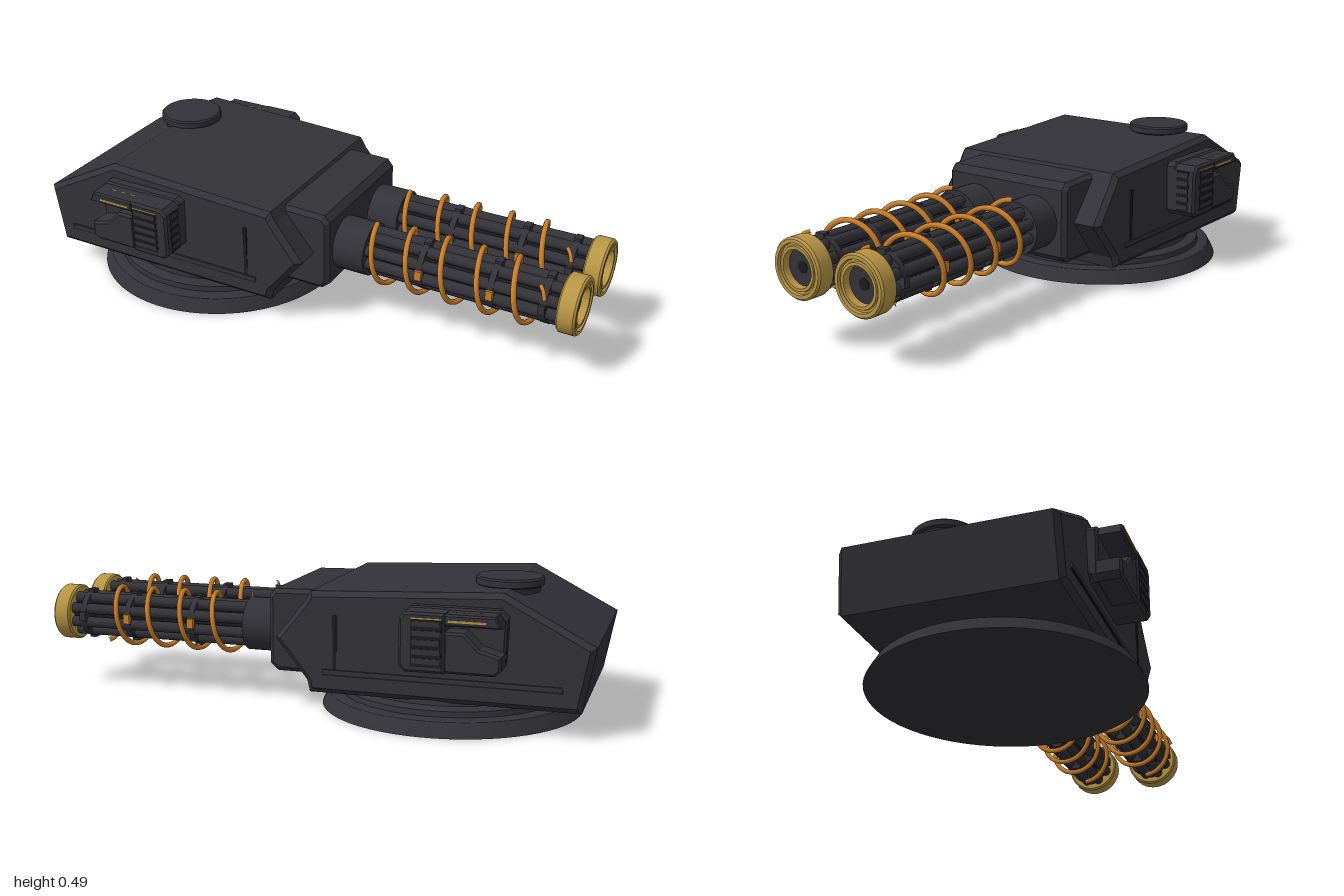
import * as THREE from 'three';
import { toCreasedNormals } from 'three/addons/utils/BufferGeometryUtils.js';

const mat = (name, color) => Object.assign(new THREE.MeshStandardMaterial({ color }), { name });
const armor = mat('charcoal armor', 0x323238);
const dark = mat('dark recess', 0x1c1c20);
const gold = mat('brass', 0xb89545);
const copper = mat('copper', 0xcd8029);

export function createModel() {
  const root = new THREE.Group();
  root.name = 'twinTurret';

  const add = (parent, name, geo, material, x = 0, y = 0, z = 0) => {
    const m = new THREE.Mesh(geo, material);
    m.name = name;
    m.position.set(x, y, z);
    parent.add(m);
    return m;
  };
  const box = (parent, name, material, x0, x1, y0, y1, z0, z1) =>
    add(parent, name, new THREE.BoxGeometry(x1 - x0, y1 - y0, z1 - z0), material,
      (x0 + x1) / 2, (y0 + y1) / 2, (z0 + z1) / 2);
  const lathe = (pts, segments = 48) => toCreasedNormals(
    new THREE.LatheGeometry(pts.map(p => new THREE.Vector2(...p)), segments), 0.5);
  const xCylinder = (r, length, segments = 32) =>
    new THREE.CylinderGeometry(r, r, length, segments).rotateZ(-Math.PI / 2);
  // Side profile extruded across z from z0 to z1, with chamfered rims
  const slab = (pts, z0, z1, bevel) => {
    const shape = new THREE.Shape(pts.map(p => new THREE.Vector2(...p)));
    const geo = new THREE.ExtrudeGeometry(shape, {
      depth: z1 - z0 - 2 * bevel, bevelEnabled: true, bevelSegments: 1,
      bevelSize: bevel, bevelThickness: bevel, bevelOffset: -bevel });
    return geo.translate(0, 0, z0 + bevel);
  };

  // Stepped turntable base
  add(root, 'turntable', lathe([
    [0, 0], [0.46, 0], [0.455, 0.012], [0.435, 0.048], [0.425, 0.053], [0.395, 0.053],
    [0.392, 0.072], [0.38, 0.078], [0.355, 0.08], [0.35, 0.1], [0, 0.1],
  ], 64), armor, -0.465);

  // Hull, slightly wider at the bottom
  const hullGeo = slab([
    [-0.96, 0.09], [-0.05, 0.09], [-0.04, 0.13], [0.075, 0.27], [-0.03, 0.4],
    [-0.05, 0.435], [-0.7, 0.463], [-1, 0.305],
  ], -0.355, 0.355, 0.018);
  const p = hullGeo.attributes.position;
  for (let i = 0; i < p.count; i++) p.setZ(i, p.getZ(i) * (1.02 - 0.08 * (p.getY(i) - 0.09)));
  hullGeo.computeVertexNormals();
  add(root, 'hull', hullGeo, armor);

  // Front collar that carries the barrels
  add(root, 'frontCollar', slab([
    [-0.1, 0.13], [0.1, 0.13], [0.13, 0.155], [0.13, 0.395], [0.11, 0.42], [-0.1, 0.425],
  ], -0.26, 0.26, 0.015), armor);
  box(root, 'brassTrim', gold, -0.06, -0.038, 0.09, 0.1, -0.14, 0.14);

  // Roof hatch
  add(root, 'hatch', lathe([
    [0.1, 0], [0.105, 0.02], [0.114, 0.025], [0.114, 0.045], [0.108, 0.051], [0, 0.051],
  ]), armor, -0.685, 0.439, -0.135);

  // Side equipment, the same on both sides
  for (const s of [1, -1]) {
    const side = new THREE.Group();
    side.name = s > 0 ? 'frontSide' : 'backSide';
    root.add(side);
    const sbox = (name, material, x0, x1, y0, y1, z0, z1) =>
      box(side, name, material, x0, x1, y0, y1, Math.min(s * z0, s * z1), Math.max(s * z0, s * z1));
    const sslab = (name, pts, z0, z1, b) =>
      add(side, name, s > 0 ? slab(pts, z0, z1, b) : slab(pts, -z1, -z0, b), armor);

    sbox('lowerRail', armor, -0.9, -0.1, 0.16, 0.175, 0.34, 0.366);
    sbox('lowerRailShadow', dark, -0.9, -0.1, 0.154, 0.16, 0.34, 0.363);
    sbox('slot', dark, -0.148, -0.135, 0.16, 0.36, 0.34, 0.36);

    // Pod: mounting plate, housing and sloped rear cover
    sslab('podPlate', [[-0.72, 0.24], [-0.7, 0.215], [-0.41, 0.215], [-0.39, 0.235],
      [-0.39, 0.4], [-0.41, 0.415], [-0.7, 0.415], [-0.725, 0.39]], 0.33, 0.39, 0.008);
    sslab('podHousing', [[-0.54, 0.215], [-0.41, 0.215], [-0.39, 0.235],
      [-0.39, 0.39], [-0.41, 0.41], [-0.54, 0.41]], 0.36, 0.47, 0.008);
    sslab('podCover', [[-0.72, 0.235], [-0.7, 0.217], [-0.535, 0.217], [-0.535, 0.35],
      [-0.6, 0.35], [-0.65, 0.3], [-0.72, 0.28]], 0.36, 0.465, 0.008);
    sslab('podTop', [[-0.72, 0.37], [-0.535, 0.37], [-0.535, 0.408], [-0.7, 0.408]],
      0.36, 0.468, 0.006);
    sbox('podBrassTrim', gold, -0.67, -0.55, 0.383, 0.39, 0.46, 0.47);
    for (let i = 0; i < 3; i++)
      sbox('podBrassVent', gold, -0.65 + i * 0.04, -0.63 + i * 0.04, 0.404, 0.41, 0.42, 0.425);

    // Grille wrapping the housing's corner
    sbox('grilleRecess', dark, -0.53, -0.43, 0.235, 0.39, 0.46, 0.471);
    sbox('grilleEndRecess', dark, -0.4, -0.389, 0.235, 0.39, 0.395, 0.445);
    for (let i = 0; i < 5; i++) {
      const y = 0.245 + i * 0.03;
      sbox('grilleSlat', armor, -0.525, -0.435, y, y + 0.018, 0.46, 0.474);
      sbox('grilleEndSlat', armor, -0.4, -0.386, y, y + 0.018, 0.397, 0.443);
    }
    sbox('grilleBrassTrim', gold, -0.53, -0.43, 0.389, 0.393, 0.465, 0.472);
  }

  // Coil path around a barrel
  const coilPoints = [];
  const turns = 4.5;
  for (let i = 0; i <= 108; i++) {
    const t = i / 108, a = t * turns * Math.PI * 2;
    coilPoints.push(new THREE.Vector3(0.255 + 0.575 * t, Math.cos(a) * 0.104, Math.sin(a) * 0.104));
  }
  const coilGeo = new THREE.TubeGeometry(new THREE.CatmullRomCurve3(coilPoints), 270, 0.0095, 8);

  // Muzzle ring with a stepped bore
  const muzzleGeo = lathe([
    [0.06, 0], [0.096, 0], [0.102, 0.006], [0.102, 0.058], [0.096, 0.065], [0.084, 0.065],
    [0.082, 0.055], [0.075, 0.055], [0.073, 0.062], [0.063, 0.062], [0.061, 0.04], [0.06, 0],
  ]).rotateZ(-Math.PI / 2);

  for (const z of [0.132, -0.132]) {
    const barrel = new THREE.Group();
    barrel.name = z > 0 ? 'frontBarrel' : 'backBarrel';
    barrel.position.set(0, 0.268, z);
    root.add(barrel);
    add(barrel, 'socket', xCylinder(0.095, 0.135), armor, 0.178);
    add(barrel, 'core', xCylinder(0.05, 0.74, 20), dark, 0.595);
    for (let i = 0; i < 8; i++) {
      const a = (i + 0.5) / 8 * Math.PI * 2;
      add(barrel, 'rod', xCylinder(0.02, 0.72, 12), armor, 0.59, Math.cos(a) * 0.065, Math.sin(a) * 0.065);
    }
    for (const x of [0.45, 0.705, 0.885]) {
      add(barrel, 'clampDisc', xCylinder(0.085, 0.022), armor, x);
      for (let i = 0; i < 4; i++) {
        const a = i / 4 * Math.PI * 2;
        const clip = add(barrel, 'clampClip', new THREE.BoxGeometry(0.024, 0.012, 0.035),
          i % 2 && x < 0.8 ? copper : armor, x, Math.cos(a) * 0.086, Math.sin(a) * 0.086);
        clip.rotation.x = a;
      }
    }
    add(barrel, 'coil', coilGeo, copper);
    // Loose coil end near the muzzle
    add(barrel, 'coilEnd', new THREE.TubeGeometry(new THREE.CatmullRomCurve3([
      new THREE.Vector3(0.87, 0.08, 0.07), new THREE.Vector3(0.885, 0.07, 0.088),
      new THREE.Vector3(0.895, 0.045, 0.098)]), 8, 0.007, 6), copper);
    add(barrel, 'muzzle', muzzleGeo, gold, 0.935);
    add(barrel, 'boreFace', xCylinder(0.062, 0.02), armor, 0.962);
    add(barrel, 'bore', xCylinder(0.02, 0.01, 20), dark, 0.969);
  }

  return root;
}
